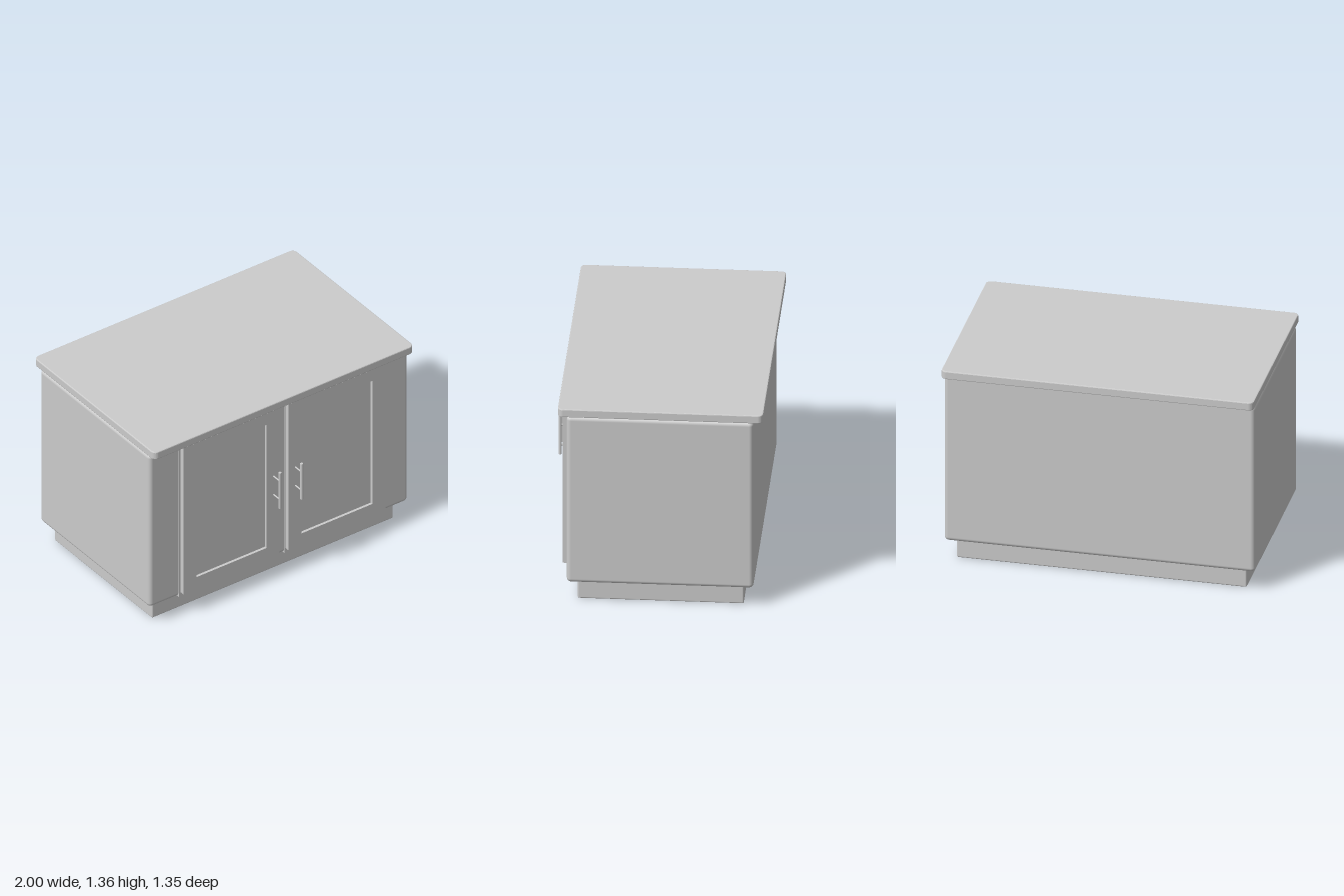
import * as THREE from 'three';
import { RoundedBoxGeometry } from 'three/addons/geometries/RoundedBoxGeometry.js';

const material = new THREE.MeshStandardMaterial({ color: 0xcccccc });

function add(parent, name, geometry, x = 0, y = 0, z = 0) {
  const mesh = new THREE.Mesh(geometry, material);
  mesh.name = name;
  mesh.position.set(x, y, z);
  parent.add(mesh);
  return mesh;
}

// Box given by its limits; a radius rounds the edges
function block(parent, name, [x0, x1], [y0, y1], [z0, z1], radius = 0) {
  const size = [x1 - x0, y1 - y0, z1 - z0];
  const geometry = radius ? new RoundedBoxGeometry(...size, 4, radius) : new THREE.BoxGeometry(...size);
  return add(parent, name, geometry, (x0 + x1) / 2, (y0 + y1) / 2, (z0 + z1) / 2);
}

function rectangle(path, x0, x1, y0, y1) {
  return path.moveTo(x0, y0).lineTo(x1, y0).lineTo(x1, y1).lineTo(x0, y1).closePath();
}

// Slab with rounded upright corners and a fine bevel, lying flat
function worktop(parent) {
  const b = 0.006, x = 1 - b, z0 = -0.67 + b, z1 = 0.615 - b, r = 0.028;
  const s = new THREE.Shape();
  s.absarc(x - r, -z0 - r, r, 0, Math.PI / 2);
  s.absarc(-x + r, -z0 - r, r, Math.PI / 2, Math.PI);
  s.absarc(-x + r, -z1 + r, r, Math.PI, Math.PI * 1.5);
  s.absarc(x - r, -z1 + r, r, Math.PI * 1.5, Math.PI * 2);
  s.closePath();
  const geometry = new THREE.ExtrudeGeometry(s, {
    depth: 0.055 - 2 * b, bevelThickness: b, bevelSize: b, bevelSegments: 2, curveSegments: 6,
  });
  geometry.rotateX(-Math.PI / 2);
  add(parent, 'worktop', geometry, 0, 1.3 + b, 0);
}

// Framed door with a recessed centre panel
function door(parent, name, x0, x1) {
  const group = new THREE.Group();
  group.name = name;
  parent.add(group);
  const i0 = x0 + 0.1, i1 = x1 - 0.1;
  const frame = rectangle(new THREE.Shape(), x0, x1, 0.175, 1.29);
  frame.holes.push(rectangle(new THREE.Path(), i0, i1, 0.265, 1.205));
  add(group, 'doorFrame', new THREE.ExtrudeGeometry(frame, { depth: 0.035, bevelEnabled: false }), 0, 0, 0.565);
  block(group, 'doorPanel', [i0, i1], [0.265, 1.205], [0.56, 0.582]);
}

// Upright bar on two standoffs
function handle(parent, name, x) {
  const group = new THREE.Group();
  group.name = name;
  group.position.x = x;
  parent.add(group);
  add(group, 'handleBar', new THREE.CylinderGeometry(0.01, 0.01, 0.27, 16), 0, 0.72, 0.665);
  for (const y of [0.65, 0.79]) {
    const post = add(group, 'handlePost', new THREE.CylinderGeometry(0.005, 0.005, 0.08, 12), 0, y, 0.625);
    post.rotation.x = Math.PI / 2;
  }
}

export function createModel() {
  const cabinet = new THREE.Group();
  cabinet.name = 'cabinet';

  block(cabinet, 'plinth', [-0.93, 0.925], [0, 0.16], [-0.545, 0.495], 0.01);
  block(cabinet, 'body', [-0.997, 0.993], [0.14, 1.3], [-0.61, 0.56], 0.028);
  worktop(cabinet);

  // Backing panels, doors and handles, with a narrow gap between the pairs
  block(cabinet, 'rightBacking', [-0.775, -0.02], [0.14, 1.3], [0.5, 0.568]);
  block(cabinet, 'leftBacking', [0.037, 0.79], [0.14, 1.3], [0.5, 0.568]);
  door(cabinet, 'rightDoor', -0.765, -0.025);
  door(cabinet, 'leftDoor', 0.045, 0.788);
  handle(cabinet, 'rightHandle', -0.07);
  handle(cabinet, 'leftHandle', 0.098);

  return cabinet;
}
